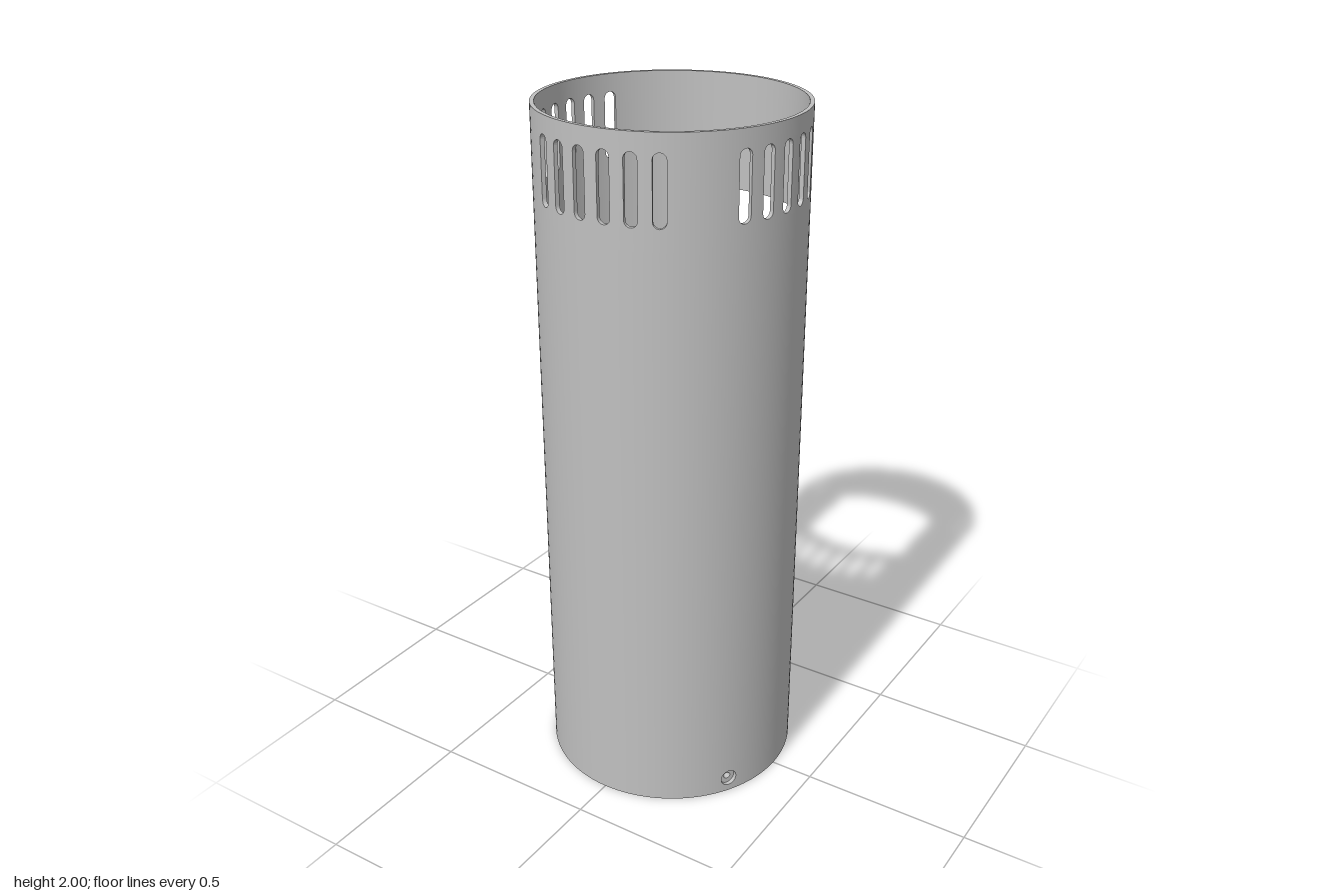
import * as THREE from 'three';

const DEG = Math.PI / 180;
const START = -140 * DEG, SEGMENTS = 128;
const OUTER = 0.372, INNER = 0.36, RING_INNER = 0.325;

const point = (a, r, y) => new THREE.Vector3(r * Math.sin(a), y, r * Math.cos(a));
const radial = (a, s) => new THREE.Vector3(s * Math.sin(a), 0, s * Math.cos(a));

// Collects quads with given or flat normals
class Surface {
  constructor() { this.pos = []; this.nor = []; }
  quad(p, n) {
    for (const tri of [[0, 1, 2], [0, 2, 3]]) {
      const [a, b, c] = tri.map(i => p[i]);
      const flat = b.clone().sub(a).cross(c.clone().sub(a));
      if (flat.length() < 1e-12) continue;
      flat.normalize();
      for (const i of tri) {
        this.pos.push(...p[i].toArray());
        this.nor.push(...(n ? n[i] : flat).toArray());
      }
    }
  }
  mesh(name, material) {
    const g = new THREE.BufferGeometry();
    g.setAttribute('position', new THREE.Float32BufferAttribute(this.pos, 3));
    g.setAttribute('normal', new THREE.Float32BufferAttribute(this.nor, 3));
    const m = new THREE.Mesh(g, material);
    m.name = name;
    return m;
  }
}

// Hollow cylinder band with cuts {a, half, y0, y1, round} through its wall
function band(surface, { y0, y1, rin, rout, cuts = [], extra = [], capLo = true, capHi = true }) {
  const angles = [...extra];
  for (let i = 0; i <= SEGMENTS; i++) angles.push(START + i / SEGMENTS * 2 * Math.PI);
  for (const c of cuts)
    for (let i = 0; i <= 12; i++) angles.push(c.a - c.half * Math.cos(i / 12 * Math.PI));
  angles.sort((a, b) => a - b);
  const list = angles.filter((a, i) => i === 0 || a - angles[i - 1] > 1e-6);

  const strip = (a, b, loA, loB, hiA, hiB, bottom, top) => {
    const ra = rin(a), rb = rin(b);
    surface.quad([point(a, rout, loA), point(b, rout, loB), point(b, rout, hiB), point(a, rout, hiA)],
      [radial(a, 1), radial(b, 1), radial(b, 1), radial(a, 1)]);
    surface.quad([point(b, rb, loB), point(a, ra, loA), point(a, ra, hiA), point(b, rb, hiB)],
      Math.abs(ra - rb) > 1e-6 ? null : [radial(b, -1), radial(a, -1), radial(a, -1), radial(b, -1)]);
    if (top) surface.quad([point(a, rout, hiA), point(b, rout, hiB), point(b, rb, hiB), point(a, ra, hiA)]);
    if (bottom) surface.quad([point(a, ra, loA), point(b, rb, loB), point(b, rout, loB), point(a, rout, loA)]);
  };

  for (let i = 0; i < list.length - 1; i++) {
    const a = list[i], b = list[i + 1], mid = (a + b) / 2;
    const c = cuts.find(k => Math.abs(mid - k.a) < k.half);
    if (!c) { strip(a, b, y0, y0, y1, y1, capLo, capHi); continue; }
    const inset = t => c.round * (1 - Math.sqrt(Math.max(0, 1 - ((t - c.a) / c.half) ** 2)));
    strip(a, b, y0, y0, c.y0 + inset(a), c.y0 + inset(b), capLo, true);
    strip(a, b, c.y1 - inset(a), c.y1 - inset(b), y1, y1, true, capHi);
  }

  // straight sides of the cuts
  for (const c of cuts) {
    const lo = c.y0 + c.round, hi = c.y1 - c.round;
    if (hi - lo < 1e-6) continue;
    for (const s of [-1, 1]) {
      const a = c.a + s * c.half, r = rin(a);
      const p = [point(a, rout, lo), point(a, r, lo), point(a, r, hi), point(a, rout, hi)];
      surface.quad(s < 0 ? p : p.reverse());
    }
  }
}

export function createModel() {
  const group = new THREE.Group();
  const grey = new THREE.MeshStandardMaterial({ color: 0xc0c0c0 });
  grey.name = 'grey';

  const holes = (r, radius) => [-60, 60, 180].map(d =>
    ({ a: d * DEG, half: r / radius, y0: 0.045 - r, y1: 0.045 + r, round: r }));

  // Vent slots: six each on the front and both sides
  const slots = [];
  for (const side of [-90, 0, 90])
    for (let i = 0; i < 6; i++)
      slots.push({ a: (side + (i - 2.5) * 11.25) * DEG, half: 0.0175 / 0.366, y0: 1.76, y1: 1.95, round: 0.0175 });

  // Sleeve: screw holes below, back window in the middle, vents on top
  const sleeve = new Surface();
  const wall = { rin: () => INNER, rout: OUTER };
  const window = { a: Math.PI, half: 33.6 * DEG, y0: 0.145, y1: 1.67, round: 0 };
  band(sleeve, { ...wall, y0: 0, y1: 0.12, cuts: holes(0.025, OUTER), capHi: false });
  band(sleeve, { ...wall, y0: 0.12, y1: 1.7, cuts: [window], capLo: false, capHi: false });
  band(sleeve, { ...wall, y0: 1.7, y1: 2, cuts: slots, capLo: false });
  group.add(sleeve.mesh('sleeve', grey));

  // Base ring with small V notches open at its top edge
  const notches = [], width = 0.009 / RING_INNER;
  for (let k = 0; k < 32; k++) {
    if ([8, 18, 19, 20, 30].includes(k)) continue;
    const d = 1 + k * 11.25;
    notches.push((d > 220 ? d - 360 : d) * DEG);
  }
  const notched = a => RING_INNER + 0.01 * notches.reduce(
    (m, n) => Math.max(m, 1 - Math.abs(a - n) / width), 0);
  const ring = new Surface();
  band(ring, { y0: 0.006, y1: 0.07, rin: () => RING_INNER, rout: INNER, cuts: holes(0.01, 0.34) });
  band(ring, {
    y0: 0.07, y1: 0.13, rin: notched, rout: INNER, capLo: false,
    extra: notches.flatMap(n => [n - width, n, n + width]),
  });
  group.add(ring.mesh('baseRing', grey));

  return group;
}
